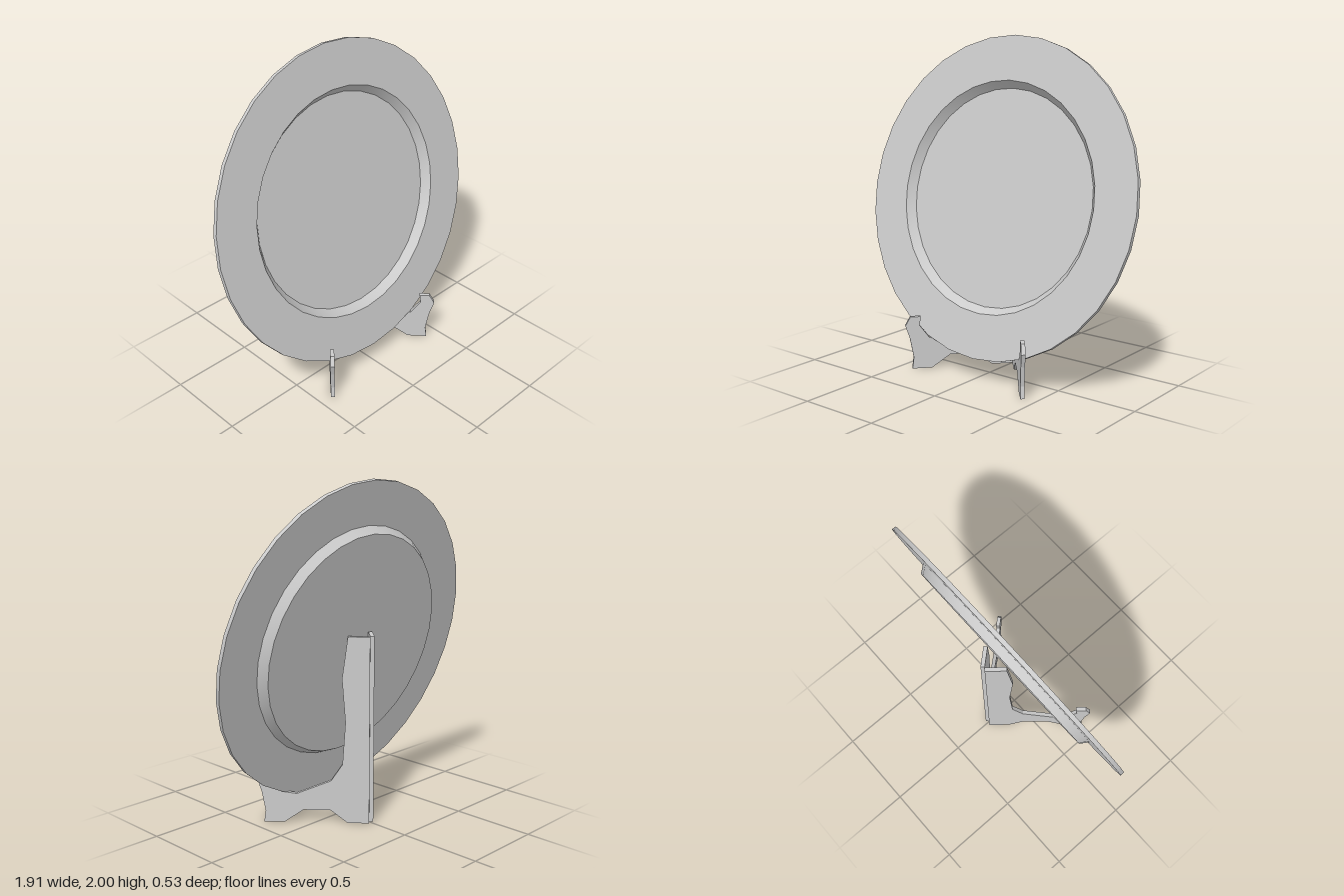
import * as THREE from 'three';
import { toCreasedNormals } from 'three/addons/utils/BufferGeometryUtils.js';

const material = new THREE.MeshStandardMaterial({ color: 0xcccccc });

// Plate: turned profile from the back centre, round the rim, to the front centre
function makePlate() {
  const profile = [
    [0, -0.075], [0.665, -0.075], [0.7, -0.025], [0.957, -0.025],
    [0.957, 0], [0.69, 0], [0.65, -0.05], [0, -0.05],
  ].map(([r, y]) => new THREE.Vector2(r, y));
  const plate = new THREE.Mesh(toCreasedNormals(new THREE.LatheGeometry(profile, 32), 0.5), material);
  plate.name = 'plate';
  plate.rotation.x = THREE.MathUtils.degToRad(77.8); // leans back
  plate.position.set(0, 1.065, -0.037);
  return plate;
}

// Stand panel: flat cut-out with a tall back, a cradle and a front hook
const ANGLE = 0.85;
const THICKNESS = 0.024;
const BACK = -0.24;

function makePanelGeometry() {
  const outline = [ // depth z, height y
    [-0.24, 0], [-0.145, 0], [-0.07, 0.078], [0.05, 0.078], [0.135, 0], // arched foot
    [0.225, 0], [0.218, 0.07], [0.235, 0.19], [0.255, 0.27], [0.232, 0.325], // front edge
    [0.185, 0.325], [0.19, 0.27], [0.145, 0.19], [0.08, 0.178], // hook and cradle
    [-0.072, 0.26], [-0.122, 0.36], [-0.135, 0.615], [-0.12, 0.875], [-0.145, 1.12], // back post
    [-0.24, 1.12],
  ];
  const stretch = 1 / Math.sin(ANGLE); // depth to length along the splayed panel
  const shape = new THREE.Shape(outline.map(([z, y]) => new THREE.Vector2((z - BACK) * stretch, y)));
  return new THREE.ExtrudeGeometry(shape, { depth: THICKNESS, bevelEnabled: false });
}

function makeStand() {
  const stand = new THREE.Group();
  stand.name = 'stand';
  const geometry = makePanelGeometry();

  const left = new THREE.Mesh(geometry, material);
  left.name = 'leftPanel';
  left.rotation.y = -ANGLE;
  left.position.set(0.018, 0, BACK);

  const right = new THREE.Mesh(geometry, material);
  right.name = 'rightPanel';
  right.rotation.y = Math.PI + ANGLE;
  right.position.set(0, 0, BACK + THICKNESS * Math.cos(ANGLE));

  stand.add(left, right);
  return stand;
}

export function createModel() {
  const model = new THREE.Group();
  model.name = 'plateOnStand';
  model.add(makePlate(), makeStand());
  return model;
}
